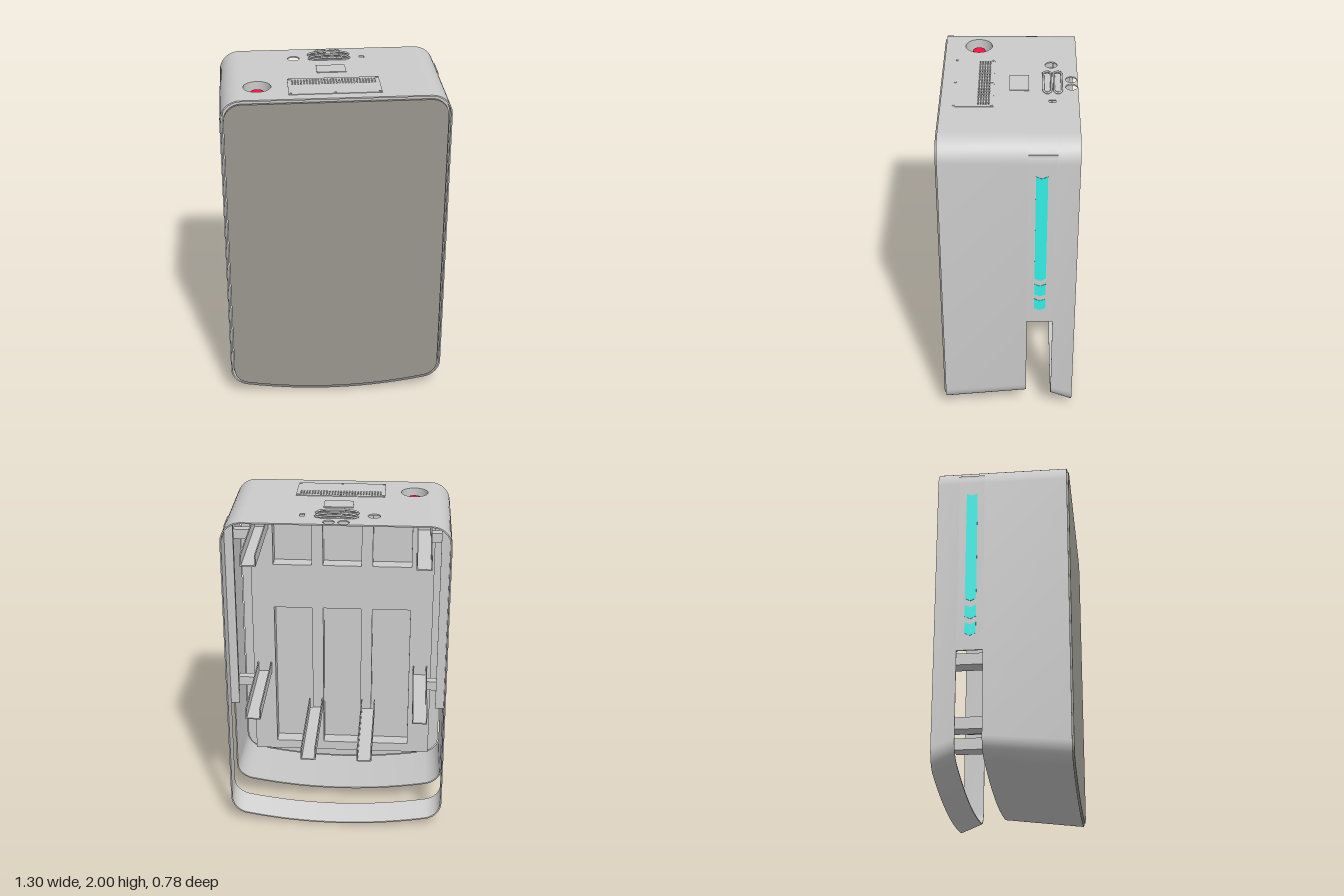
import * as THREE from 'three';
import { toCreasedNormals } from 'three/addons/utils/BufferGeometryUtils.js';

const grey = new THREE.MeshStandardMaterial({ color: 0xcccccc, side: THREE.DoubleSide });
const dark = new THREE.MeshStandardMaterial({ color: 0x9a978f });
const cyan = new THREE.MeshStandardMaterial({ color: 0x32f0e8 });
const red = new THREE.MeshStandardMaterial({ color: 0xff0d40 });
const TOP = 1.975, T = 0.008, V = (x, y) => new THREE.Vector2(x, y);

// Right half of the cabinet outline, inset by d, from the top corner to the bottom centre
function halfOutline(d, low = 0) {
  const pts = [], r = 0.12 - d;
  for (let i = 0; i <= 10; i++) {
    const a = Math.PI / 2 * (1 - i / 10);
    pts.push(V(0.53 + r * Math.cos(a), 1.855 + r * Math.sin(a)));
  }
  if (low) return [...pts, V(0.65 - d, low)];
  for (let i = 0; i <= 10; i++) {
    const a = -i / 10 * 1.39;
    pts.push(V(0.53 + r * Math.cos(a), 0.19 + r * Math.sin(a)));
  }
  for (let i = 9; i >= 0; i--) {
    const x = 0.551 * i / 10;
    pts.push(V(x, 0.02 + 0.052 * (i / 10) ** 2 + d));
  }
  return pts;
}
const mirrored = (pts) => pts.map((p) => V(-p.x, p.y)).reverse();
const fullOutline = (d) => {
  const h = halfOutline(d);
  return [...h, ...mirrored(h).slice(1)];
};
const rectPts = (x0, y0, x1, y1) => [V(x0, y0), V(x1, y0), V(x1, y1), V(x0, y1)];
const circlePts = (x, y, r, n = 32) => Array.from({ length: n }, (_, i) =>
  V(x + r * Math.cos(i / n * 2 * Math.PI), y + r * Math.sin(i / n * 2 * Math.PI)));

function extrude(pts, depth, holes = []) {
  const s = new THREE.Shape(pts);
  s.holes = holes.map((h) => new THREE.Path(h));
  return toCreasedNormals(new THREE.ExtrudeGeometry(s, { depth, bevelEnabled: false }), 0.5);
}

export function createModel() {
  const group = new THREE.Group();
  const add = (name, geo, mat = grey, x = 0, y = 0, z = 0) => {
    const m = new THREE.Mesh(geo, mat);
    m.name = name;
    m.position.set(x, y, z);
    group.add(m);
    return m;
  };
  const box = (name, w, h, d, x, y, z, mat = grey) => add(name, new THREE.BoxGeometry(w, h, d), mat, x, y, z);
  // Horizontal plate: outline in (x, -z), raised from height y
  const flat = (name, pts, h, y, holes = []) =>
    add(name, extrude(pts, h, holes).rotateX(-Math.PI / 2), grey, 0, y, 0);

  // Wrapped shell: front and back bands with sloping undersides
  function band(name, z0, z1, lift) {
    const pts = [...fullOutline(0), ...fullOutline(T).reverse()];
    const g = extrude(pts, z1 - z0).translate(0, 0, z0);
    const p = g.attributes.position;
    for (let i = 0; i < p.count; i++) {
      const y = p.getY(i);
      if (y < 0.5) p.setY(i, y + lift(p.getZ(i)) * Math.min(1, (0.5 - y) / 0.4));
    }
    g.computeVertexNormals();
    add(name, toCreasedNormals(g, 0.5));
  }
  band('frontShell', -0.11, 0.38, (z) => (0.38 - z) * 0.122);
  band('backShell', -0.39, -0.26, (z) => -0.017 + (z + 0.39) * 0.42);

  // Side pieces above the slots
  const side = [...halfOutline(0, 0.75), ...halfOutline(T, 0.75).reverse()];
  for (const pts of [side, mirrored(side)]) add('sideShell', extrude(pts, 0.15), grey, 0, 0, -0.26);

  // Top sheet with openings
  flat('topSheet', rectPts(-0.53, -0.38, 0.53, 0.39), T, TOP - T, [
    circlePts(-0.21, 0.24, 0.035), circlePts(-0.043, 0.352, 0.033), circlePts(0.04, 0.352, 0.033),
    rectPts(0.183, 0.224, 0.211, 0.262), circlePts(-0.435, -0.185, 0.082),
    rectPts(-0.25, -0.18, 0.25, -0.1),
  ]);

  // Front panel and its rim
  add('frontPanel', extrude(fullOutline(0.022), 0.016), dark, 0, 0, 0.374);
  add('panelBacking', extrude(fullOutline(0.015), 0.008), grey, 0, 0.01, 0.358);

  // Inner frame with three columns of windows
  const windows = [];
  for (const x of [-0.31, 0, 0.31])
    for (const [y0, y1] of [[0.2, 1.17], [1.46, 1.84]]) windows.push(rectPts(x - 0.12, y0, x + 0.12, y1));
  add('innerFrame', extrude(rectPts(-0.57, 0.14, 0.57, 1.92), 0.088, windows), grey, 0, 0, 0.27);

  // U-shaped rails running front to back
  function rail(name, x, y, w, h, z0, z1) {
    const a = w / 2, t = 0.007;
    const u = [V(-a, 0), V(a, 0), V(a, h), V(a - t, h), V(a - t, t), V(t - a, t), V(t - a, h), V(-a, h)];
    add(name, extrude(u, z1 - z0), grey, x, y, z0);
  }
  for (const s of [-1, 1]) {
    rail('floorRail', s * 0.17, 0.45, 0.09, 0.075, -0.38, 0.27);
    rail('lowerSideRail', s * 0.5, 0.71, 0.09, 0.07, -0.36, 0.27);
    rail('upperSideRail', s * 0.5, 1.7, 0.09, 0.07, -0.36, 0.27);
    box('railBracket', 0.1, 0.06, 0.05, s * 0.595, 0.74, 0.1);
    box('railBracket', 0.1, 0.06, 0.05, s * 0.595, 1.73, 0.1);
    // Channel behind the light strip
    box('lightChannel', 0.03, 1.14, 0.15, s * 0.627, 1.34, -0.185);
    box('channelFlange', 0.05, 1.14, 0.008, s * 0.617, 1.34, -0.264);

    // Light strip segments with chevron ends
    for (const [y0, y1] of [[1.06, 1.78], [0.945, 1.035], [0.84, 0.925]]) {
      const c = 0.015, w = 0.0325;
      const pts = [V(-w, y0 + c), V(0, y0), V(w, y0 + c), V(w, y1), V(0, y1 - c), V(-w, y1)];
      add('lightStrip', extrude(pts, 0.004).translate(0, 0, -0.002).rotateY(Math.PI / 2), cyan, s * 0.65, 0, -0.184);
    }
    box('sideSlit', 0.002, 0.03, 0.006, s * 0.65, 1.745, -0.108);
  }

  // Vent plate with perforations and screws
  const perforations = [];
  for (let i = 0; i < 29; i++)
    for (let j = 0; j < 5; j++) perforations.push(circlePts((i - 14) * 0.0168, -0.112 - j * 0.0145, 0.0052, 6));
  flat('ventPlate', rectPts(-0.262, -0.318, 0.262, -0.085), 0.003, TOP, perforations);
  for (const x of [-0.25, 0, 0.25])
    for (const z of [0.097, 0.306]) add('screw', new THREE.CylinderGeometry(0.007, 0.008, 0.004, 12), grey, x, TOP + 0.004, z);

  // Small raised plate on the top
  box('coverPlate', 0.17, 0.005, 0.11, 0, TOP + 0.002, -0.056);

  // Arched loop handles
  for (const z of [-0.275, -0.215]) {
    const pts = [];
    for (let i = 0; i < 40; i++) {
      const a = i / 40 * Math.PI * 2, c = Math.cos(a), k = Math.floor(i / 10) % 2;
      const x = Math.sign(c) * 0.098 * (Math.abs(c) < 0.01 ? 0 : Math.min(1, Math.abs(c) * 1.2)) + 0.022 * c * Math.abs(c) ** 5;
      pts.push(new THREE.Vector3(x, TOP + 0.007 + 0.012 * (1 - (x / 0.12) ** 2),
        z + 0.022 * Math.sign(Math.sin(a)) * Math.min(1, Math.abs(Math.sin(a)) * 1.6)));
    }
    add('handleLoop', new THREE.TubeGeometry(new THREE.CatmullRomCurve3(pts, true), 80, 0.006, 8, true));
    box('handleBase', 0.2, 0.006, 0.036, 0, TOP + 0.002, z);
  }

  // Sunken push button
  const cup = [V(0, -0.1), V(0.079, -0.1), V(0.079, 0), V(0.083, 0), V(0.083, -0.106), V(0, -0.106)];
  add('buttonCup', toCreasedNormals(new THREE.LatheGeometry(cup, 40), 0.5), grey, -0.435, TOP, 0.185);
  add('buttonStem', new THREE.CylinderGeometry(0.025, 0.025, 0.05, 24), grey, -0.435, TOP - 0.08, 0.185);
  add('buttonCap', new THREE.CylinderGeometry(0.036, 0.041, 0.03, 32), red, -0.435, TOP - 0.045, 0.185);
  add('buttonSwitch', new THREE.CylinderGeometry(0.03, 0.03, 0.06, 24), grey, -0.435, TOP - 0.135, 0.185);
  return group;
}
